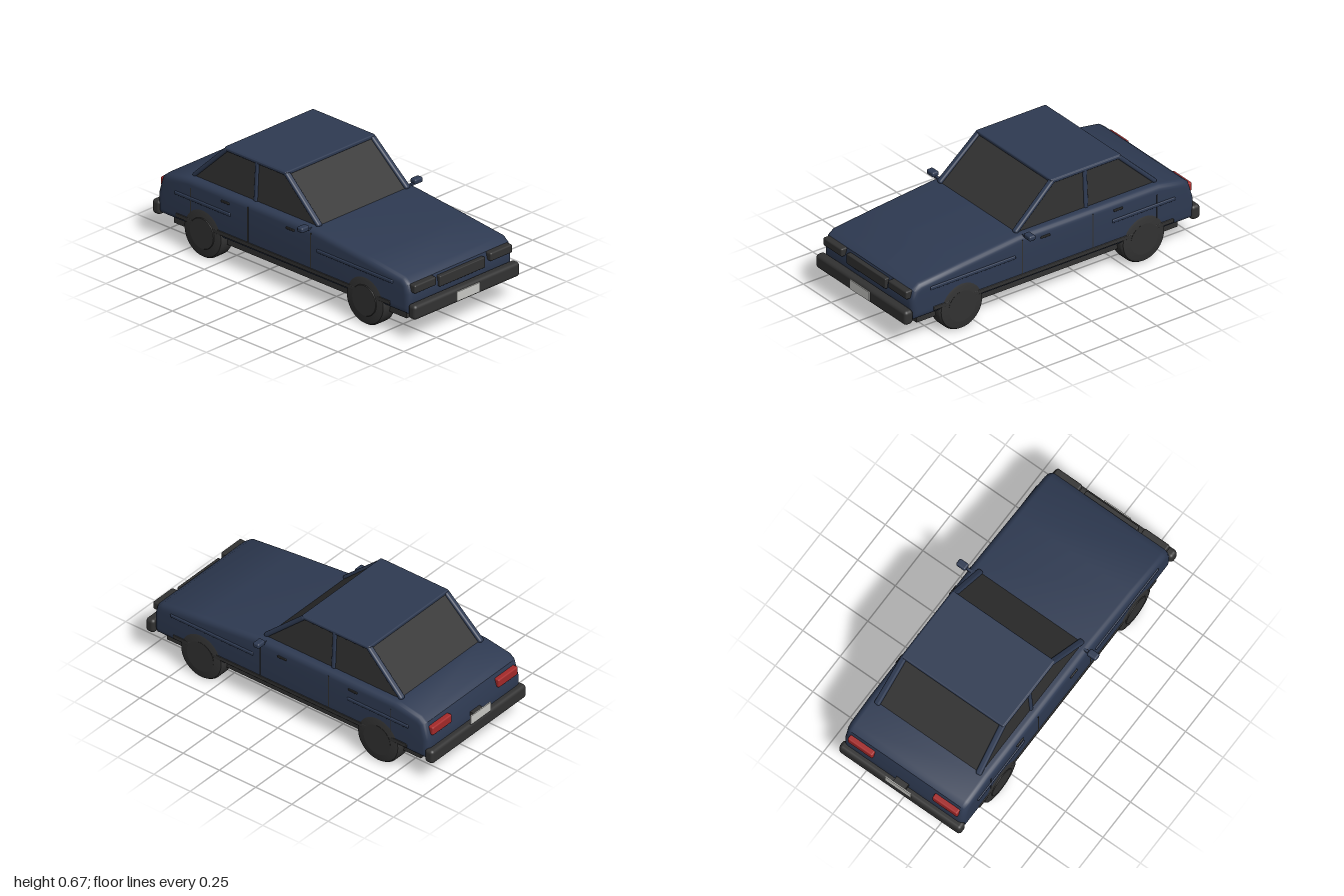
import * as THREE from 'three';
import { toCreasedNormals } from 'three/addons/utils/BufferGeometryUtils.js';
import { RoundedBoxGeometry } from 'three/addons/geometries/RoundedBoxGeometry.js';

const mat = (name, color) => {
  const m = new THREE.MeshStandardMaterial({ color });
  m.name = name;
  return m;
};

export function createModel() {
  const navy = mat('navy paint', 0x2e3a52);
  const dark = mat('dark trim', 0x323232);
  const red = mat('red lamp', 0xa52a2a);
  const pale = mat('pale plate', 0xcacac6);
  const car = new THREE.Group();
  car.name = 'sedan';

  const add = (name, geometry, material) => {
    const mesh = new THREE.Mesh(geometry, material);
    mesh.name = name;
    car.add(mesh);
    return mesh;
  };
  // Box given by its x, y and z ranges, rounded when r > 0
  const box = (name, [x0, x1], [y0, y1], [z0, z1], material, r = 0) => {
    const s = [x1 - x0, y1 - y0, z1 - z0];
    const g = r ? new RoundedBoxGeometry(...s, 3, r) : new THREE.BoxGeometry(...s);
    const mesh = add(name, g, material);
    mesh.position.set((x0 + x1) / 2, (y0 + y1) / 2, (z0 + z1) / 2);
    return mesh;
  };
  // Rounded bar between two points
  const bar = (name, a, b, w, d, material) => {
    const p = new THREE.Vector3(...a), q = new THREE.Vector3(...b);
    const mesh = add(name, new RoundedBoxGeometry(w, p.distanceTo(q) + 0.02, d, 3, 0.012), material);
    mesh.position.copy(p).add(q).multiplyScalar(0.5);
    mesh.quaternion.setFromUnitVectors(new THREE.Vector3(0, 1, 0), q.sub(p).normalize());
    return mesh;
  };

  // Lower body: side profile with rounded shoulders
  const bevel = 0.035;
  const profile = new THREE.Shape([
    [-0.945, 0.155], [0.925, 0.155], [0.94, 0.19], [0.94, 0.28], [0.925, 0.335], [0.885, 0.365],
    [0.6, 0.397], [0.22, 0.435], [-0.72, 0.435], [-0.89, 0.408], [-0.925, 0.38], [-0.955, 0.28], [-0.955, 0.19],
  ].map(([x, y]) => new THREE.Vector2(x, y)));
  const body = new THREE.ExtrudeGeometry(profile, {
    depth: 0.8 - 2 * bevel, bevelEnabled: true, bevelThickness: bevel,
    bevelSize: bevel, bevelOffset: -bevel, bevelSegments: 5,
  });
  body.translate(0, 0, -0.4 + bevel);
  add('body', toCreasedNormals(body, 0.6), navy);
  box('underbody', [-0.87, 0.88], [0.11, 0.17], [-0.355, 0.355], dark);

  // Glass cabin: a box tapered towards the roof
  const glass = new THREE.BoxGeometry(1, 1, 1);
  const p = glass.attributes.position;
  for (let i = 0; i < p.count; i++) {
    const top = p.getY(i) > 0, front = p.getX(i) > 0;
    const x = top ? (front ? -0.045 : -0.495) : (front ? 0.215 : -0.73);
    p.setXYZ(i, x, top ? 0.66 : 0.425, Math.sign(p.getZ(i)) * (top ? 0.335 : 0.348));
  }
  glass.computeVertexNormals();
  add('windows', glass, dark);
  box('roof', [-0.505, -0.035], [0.652, 0.675], [-0.34, 0.34], navy, 0.008);

  // Lamps, grille, bumpers and plates
  box('frontBumper', [0.935, 0.992], [0.145, 0.23], [-0.405, 0.405], dark, 0.02);
  box('rearBumper', [-0.99, -0.932], [0.145, 0.23], [-0.405, 0.405], dark, 0.02);
  box('grille', [0.91, 0.955], [0.26, 0.322], [-0.175, 0.175], dark, 0.006);
  box('frontPlate', [0.99, 0.998], [0.16, 0.215], [-0.088, 0.088], pale);
  box('rearPlate', [-1, -0.993], [0.24, 0.296], [-0.085, 0.085], pale);
  box('rearPlateBracket', [-0.994, -0.94], [0.255, 0.28], [-0.04, 0.04], dark);

  // Tyre cross-section, turned about the wheel axis
  const tyre = new THREE.LatheGeometry([
    [0, -0.052], [0.12, -0.052], [0.137, -0.047], [0.145, -0.035],
    [0.145, 0.035], [0.137, 0.047], [0.12, 0.052], [0, 0.052],
  ].map(([x, y]) => new THREE.Vector2(x, y)), 40);
  const tyreGeometry = toCreasedNormals(tyre, 0.6).rotateX(Math.PI / 2);
  const hubGeometry = new THREE.CylinderGeometry(0.088, 0.092, 0.006, 32).rotateX(Math.PI / 2);

  for (const s of [1, -1]) {
    const side = s > 0 ? 'left' : 'right';
    // Box on one side, its z range given outwards
    const sideBox = (name, x, y, [a, b], material, r) =>
      box(side + name, x, y, s > 0 ? [a, b] : [-b, -a], material, r);

    bar(side + 'FrontPillar', [-0.045, 0.658, s * 0.328], [0.205, 0.438, s * 0.338], 0.026, 0.036, navy);
    bar(side + 'RearPillar', [-0.495, 0.658, s * 0.328], [-0.725, 0.438, s * 0.338], 0.026, 0.036, navy);
    bar(side + 'CentrePillar', [-0.262, 0.655, s * 0.332], [-0.262, 0.435, s * 0.344], 0.028, 0.026, navy);
    sideBox('RoofRail', [-0.5, -0.04], [0.65, 0.672], [0.325, 0.344], navy, 0.008);

    sideBox('Headlight', [0.9, 0.963], [0.285, 0.335], [0.207, 0.375], dark, 0.01);
    sideBox('TailLight', [-0.962, -0.925], [0.305, 0.357], [0.2, 0.365], red, 0.008);
    sideBox('Mirror', [0.16, 0.202], [0.426, 0.457], [0.405, 0.466], navy, 0.01);
    sideBox('MirrorArm', [0.174, 0.19], [0.422, 0.434], [0.345, 0.41], navy);

    // Side trim
    sideBox('SillStrip', [-0.81, 0.8], [0.178, 0.203], [0.39, 0.405], dark, 0.004);
    sideBox('RearMoulding', [-0.82, -0.4], [0.311, 0.332], [0.392, 0.407], navy, 0.006);
    sideBox('FrontMoulding', [0.25, 0.82], [0.311, 0.332], [0.392, 0.407], navy, 0.006);
    for (const x of [-0.27, 0.203])
      sideBox('DoorGap', [x - 0.003, x + 0.003], [0.2, 0.41], [0.395, 0.402], dark);
    sideBox('RearDoorGap', [-0.702, -0.697], [0.2, 0.385], [0.395, 0.402], dark);
    for (const x of [-0.438, 0.05])
      sideBox('DoorHandle', [x - 0.031, x + 0.031], [0.379, 0.391], [0.39, 0.408], dark, 0.004);

    for (const x of [-0.61, 0.61]) {
      const wheel = add(side + (x > 0 ? 'Front' : 'Rear') + 'Wheel', tyreGeometry, dark);
      wheel.position.set(x, 0.146, s * 0.352);
      const hub = add(side + (x > 0 ? 'Front' : 'Rear') + 'Hub', hubGeometry, dark);
      hub.position.set(x, 0.146, s * 0.405);
    }
  }
  return car;
}
